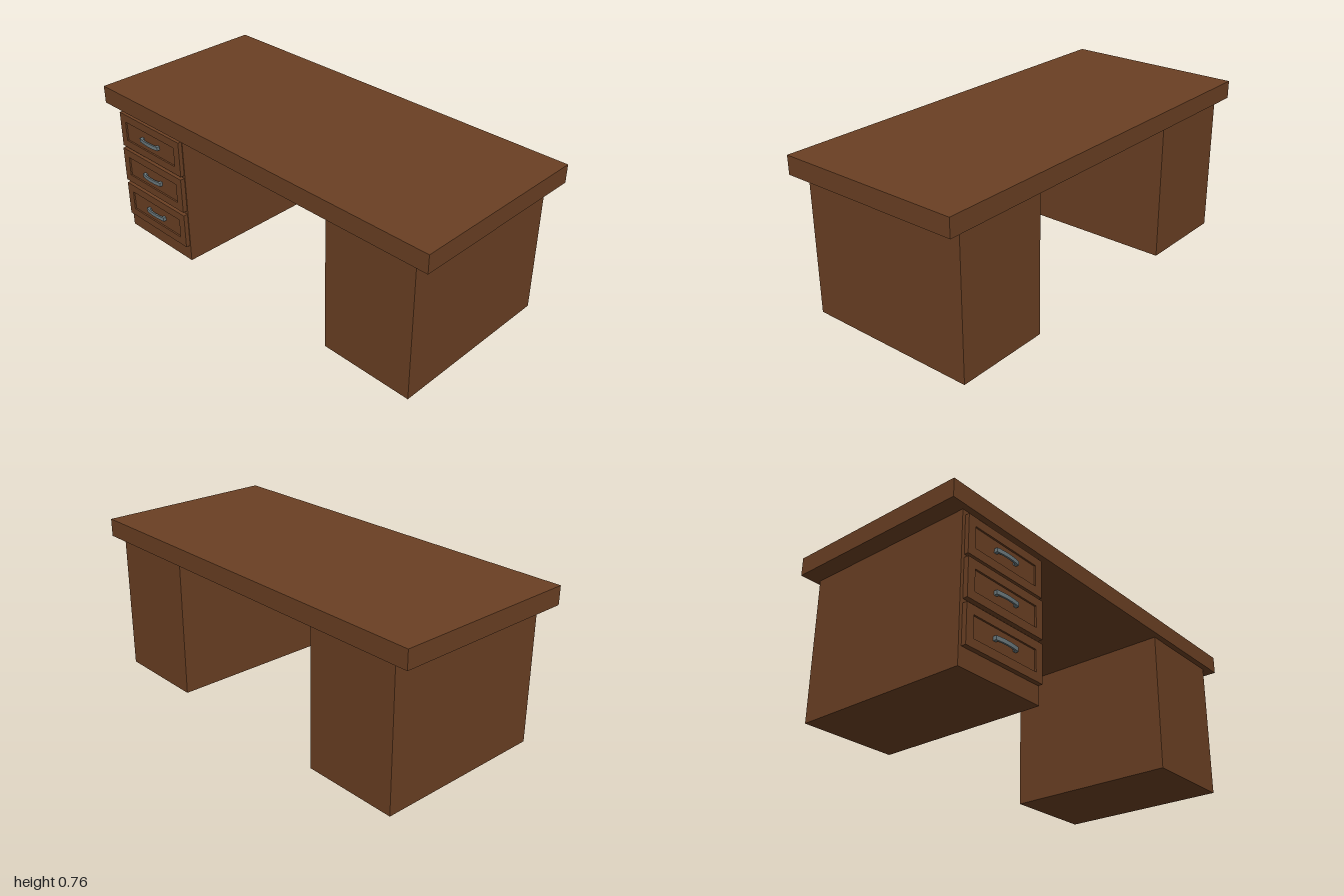
import * as THREE from 'three';

const wood = new THREE.MeshStandardMaterial({ color: 0x6b4023 });
wood.name = 'brown wood';
const metal = new THREE.MeshStandardMaterial({ color: 0x6c7a7e });
metal.name = 'grey metal';

function add(parent, name, geometry, material) {
  const mesh = new THREE.Mesh(geometry, material);
  mesh.name = name;
  parent.add(mesh);
  return mesh;
}

// Box given by its lower and upper limits
function block(parent, name, [x0, y0, z0], [x1, y1, z1]) {
  const geometry = new THREE.BoxGeometry(x1 - x0, y1 - y0, z1 - z0);
  geometry.translate((x0 + x1) / 2, (y0 + y1) / 2, (z0 + z1) / 2);
  return add(parent, name, geometry, wood);
}

function rectangle(Type, w, h) {
  return new Type([
    new THREE.Vector2(-w / 2, -h / 2), new THREE.Vector2(w / 2, -h / 2),
    new THREE.Vector2(w / 2, h / 2), new THREE.Vector2(-w / 2, h / 2),
  ]);
}

// Drawer front facing local +z: raised frame, sunken panel and bowed pull
function makeDrawer(depth) {
  const drawer = new THREE.Group();
  drawer.name = 'drawer';
  const w = 0.447, h = 0.179, rim = 0.04;

  const outline = rectangle(THREE.Shape, w, h);
  outline.holes.push(rectangle(THREE.Path, w - 2 * rim, h - 2 * rim));
  add(drawer, 'drawerFrame', new THREE.ExtrudeGeometry(outline, { depth, bevelEnabled: false }), wood);

  const panel = new THREE.BoxGeometry(w - 2 * rim, h - 2 * rim, depth - 0.008);
  add(drawer, 'drawerPanel', panel.translate(0, 0, (depth - 0.008) / 2), wood);

  // Plan outline of the pull: bowed outside, hollow behind the grip
  const r = 0.066, back = -0.009, front = 0.014;
  const plan = new THREE.Shape();
  plan.moveTo(-r, back);
  plan.lineTo(-r + 0.016, back);
  plan.lineTo(-r + 0.016, 0.002);
  plan.quadraticCurveTo(0, 0.01, r - 0.016, 0.002);
  plan.lineTo(r - 0.016, back);
  plan.lineTo(r, back);
  plan.lineTo(r, 0.008);
  plan.quadraticCurveTo(0, 2 * front - 0.008, -r, 0.008);
  const pull = new THREE.ExtrudeGeometry(plan, { depth: 0.019, bevelEnabled: false, curveSegments: 8 });
  pull.rotateX(Math.PI / 2).translate(0, 0.0095, depth);
  add(drawer, 'drawerPull', pull, metal);
  return drawer;
}

export function createModel() {
  const desk = new THREE.Group();
  desk.name = 'desk';

  block(desk, 'desktop', [-0.45, 0.676, -1], [0.457, 0.763, 1]);
  block(desk, 'drawerPedestal', [-0.422, 0, -0.917], [0.43, 0.676, -0.45]);
  block(desk, 'plainPedestal', [-0.422, 0, 0.458], [0.43, 0.676, 0.925]);

  // Three drawers on the -x side of the rear pedestal
  [[0.566, 0.02], [0.3725, 0.023], [0.1745, 0.022]].forEach(([y, depth]) => {
    const drawer = makeDrawer(depth);
    drawer.position.set(-0.422, y, -0.678);
    drawer.rotation.y = -Math.PI / 2;
    desk.add(drawer);
  });
  return desk;
}
